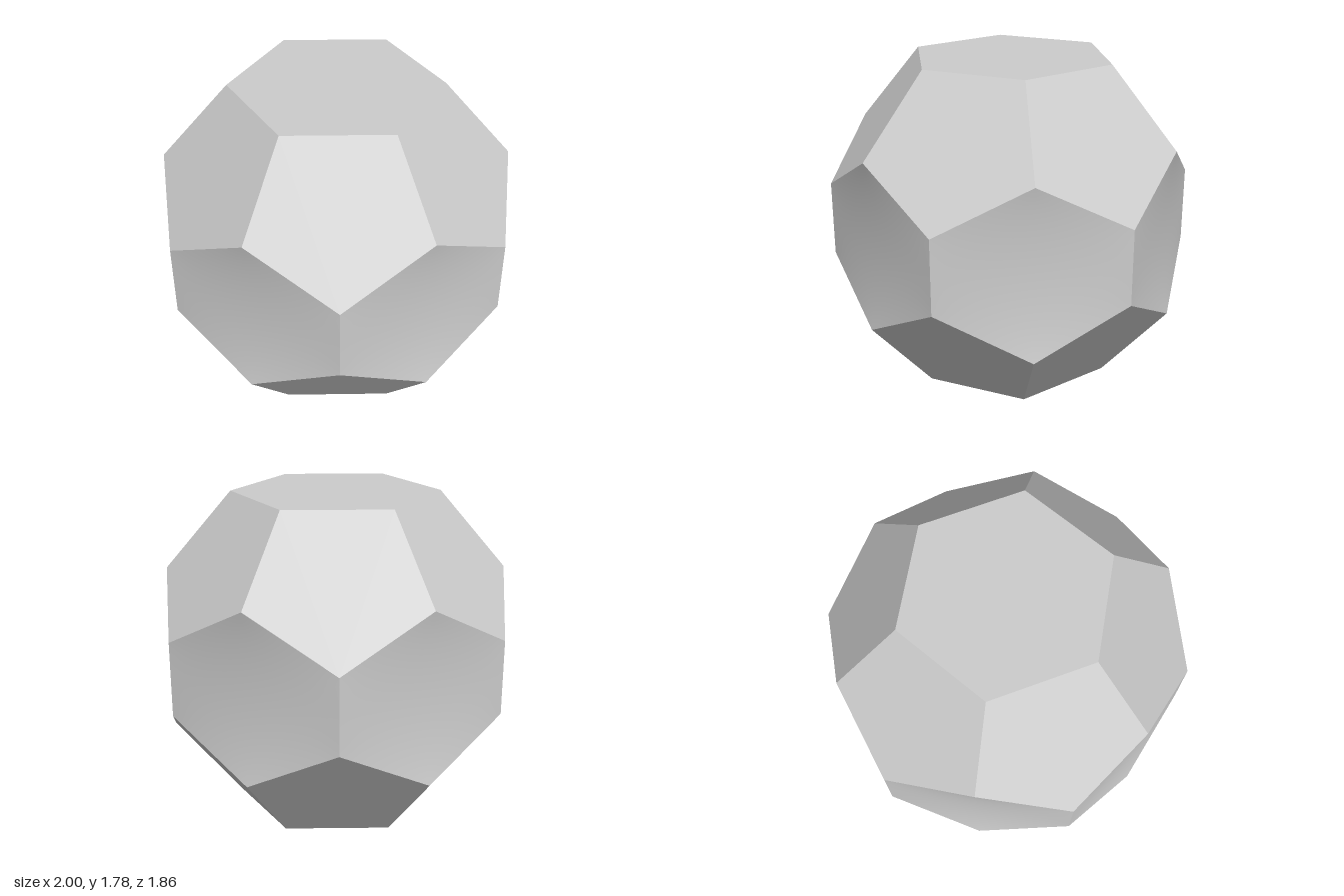
import * as THREE from 'three';

const HALF = 0.8925;   // half height
const MID = 0.4675;    // height of the upper corner ring above the equator
const SIDE = 0.205;    // half height of the upright equator edges
const CAP_R = 0.566;   // radius of the end caps
const MID_R = 0.93;    // radius of the upper corner ring
const S = Math.sqrt(3) / 2;

function makeGeometry(points, index) {
  const g = new THREE.BufferGeometry().setFromPoints(points);
  g.setIndex(index);
  g.computeVertexNormals();
  return g;
}

// Five-sided flat panel facing +z, leaning back towards the top cap
function pentagonPanel() {
  const pts = [
    [0, SIDE, 1], [MID_R / 2, MID, MID_R * S], [CAP_R / 2, HALF, CAP_R * S],
    [-CAP_R / 2, HALF, CAP_R * S], [-MID_R / 2, MID, MID_R * S],
  ].map(p => new THREE.Vector3(...p));
  return makeGeometry(pts, [0, 1, 2, 0, 2, 3, 0, 3, 4]);
}

// Saddle-shaped hexagon facing +z: a soap film stretched over six straight edges
function saddlePanel(n = 10) {
  const corners = [
    [0.5, -SIDE, S], [0.5, SIDE, S], [0, MID, MID_R],
    [-0.5, SIDE, S], [-0.5, -SIDE, S], [0, -MID, MID_R],
  ].map(c => new THREE.Vector3(...c));
  const centre = new THREE.Vector3();
  corners.forEach(c => centre.addScaledVector(c, 1 / 6));
  const dirs = [[1, 0], [0, 1], [-1, 1], [-1, 0], [0, -1], [1, -1]];

  // Triangular lattice laid out in rings around the centre
  const pts = [centre], cells = [[0, 0]], ids = new Map([['0,0', 0]]);
  for (let ring = 1; ring <= n; ring++) {
    for (let k = 0; k < 6; k++) {
      const a = dirs[k], b = dirs[(k + 1) % 6];
      for (let j = 0; j < ring; j++) {
        const cell = [0, 1].map(i => a[i] * (ring - j) + b[i] * j);
        const edge = corners[k].clone().lerp(corners[(k + 1) % 6], j / ring);
        ids.set(cell.join(), pts.length);
        cells.push(cell);
        pts.push(centre.clone().lerp(edge, ring / n));
      }
    }
  }
  const neighbour = ([q, r], k) => ids.get([q + dirs[k][0], r + dirs[k][1]].join());

  // Relax the inner points; the rim stays fixed
  const inner = pts.length - 6 * n;
  const around = cells.slice(0, inner).map(c => dirs.map((_, k) => neighbour(c, k)));
  for (let pass = 0; pass < 200; pass++) {
    around.forEach((list, i) => {
      pts[i].set(0, 0, 0);
      list.forEach(m => pts[i].addScaledVector(pts[m], 1 / 6));
    });
  }

  const index = [];
  cells.forEach((c, i) => {
    for (let k = 0; k < 2; k++) {
      const a = neighbour(c, k), b = neighbour(c, k + 1);
      if (a !== undefined && b !== undefined) index.push(i, a, b);
    }
  });
  return makeGeometry(pts, index);
}

export function createModel() {
  const model = new THREE.Group();
  model.name = 'polyhedron';
  const material = new THREE.MeshStandardMaterial({ color: 0xcccccc });
  const add = (name, geometry) => {
    const mesh = new THREE.Mesh(geometry, material);
    mesh.name = name;
    mesh.position.y = HALF;
    model.add(mesh);
    return mesh;
  };

  // Flat hexagonal caps
  const cap = new THREE.CircleGeometry(CAP_R, 6).rotateX(-Math.PI / 2).rotateY(Math.PI / 6);
  cap.translate(0, HALF, 0);
  add('topCap', cap);
  add('bottomCap', cap.clone().rotateX(Math.PI));

  // Six saddles round the equator, six pentagons above and six below
  const saddle = saddlePanel();
  const upper = pentagonPanel();
  const lower = upper.clone().rotateZ(Math.PI);
  for (let k = 0; k < 6; k++) {
    const turn = k * Math.PI / 3;
    add('saddlePanel' + (k + 1), saddle).rotation.y = turn;
    add('upperPentagon' + (k + 1), upper).rotation.y = turn + Math.PI / 6;
    add('lowerPentagon' + (k + 1), lower).rotation.y = turn + Math.PI / 6;
  }
  return model;
}
